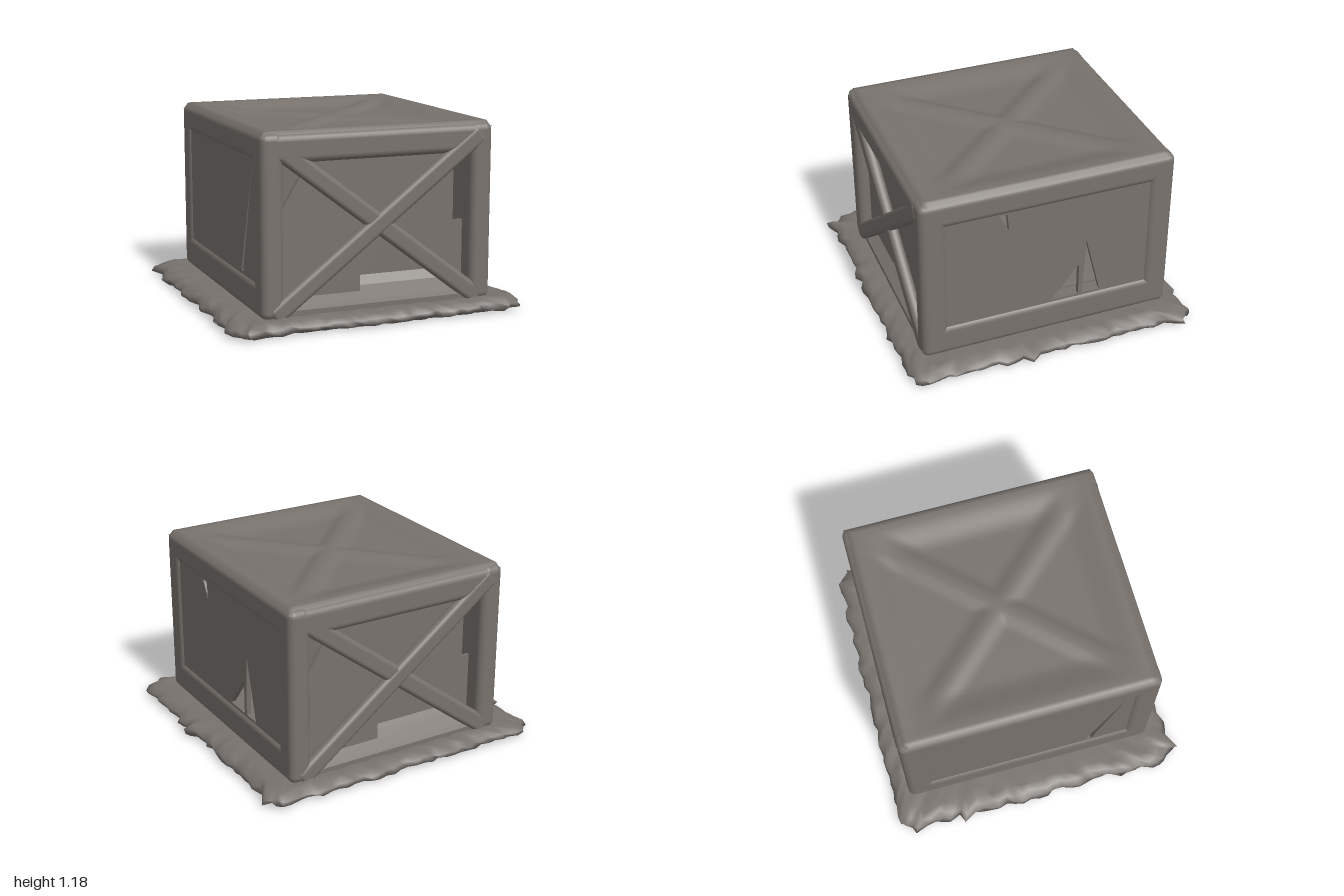
import * as THREE from 'three';
import { RoundedBoxGeometry } from 'three/addons/geometries/RoundedBoxGeometry.js';

// Small seeded random source
function seeded(seed) {
  return () => {
    seed = (seed * 1664525 + 1013904223) % 4294967296;
    return seed / 4294967296;
  };
}

export function createModel() {
  const model = new THREE.Group();
  const stone = new THREE.MeshStandardMaterial({ color: 0x78726d, side: THREE.DoubleSide });
  stone.name = 'warm grey stone';

  const CX = 0.02, HX = 0.75, HZ = 0.82; // centre and half sizes of the crate

  function add(name, geometry, parent = model, x = 0, y = 0, z = 0) {
    const mesh = new THREE.Mesh(geometry, stone);
    mesh.name = name;
    mesh.position.set(x, y, z);
    parent.add(mesh);
    return mesh;
  }
  const beam = (w, h, d, r = 0.045) => new RoundedBoxGeometry(w, h, d, 3, r);

  // Flat plate from outline points, with optional holes
  function plate(points, holes = [], depth = 0.03) {
    const toV = (p) => new THREE.Vector2(p[0], p[1]);
    const shape = new THREE.Shape(points.map(toV));
    for (const h of holes) shape.holes.push(new THREE.Path(h.map(toV)));
    return new THREE.ExtrudeGeometry(shape, { depth, bevelEnabled: false });
  }

  // Ragged ground slab: a closed, rolled profile swept round a rectangle
  function raggedSlab() {
    const rnd = seeded(11), perSide = 34, n = perSide * 4;
    // inset from the edge, height, sideways roughness, vertical roughness
    const profile = [
      [0.3, 0.008, 0, 0], [0.05, 0.008, 0.015, 0.006], [0.008, 0.03, 0.025, 0.015],
      [0.015, 0.055, 0.025, 0.02], [0.05, 0.08, 0.025, 0.02], [0.1, 0.088, 0.02, 0.016],
      [0.16, 0.082, 0.01, 0.01], [0.4, 0.085, 0, 0],
    ];
    const spikes = { 2: 0.05, 48: 0.05, 66: 0.04, 110: 0.03, 133: 0.02 };
    const pos = [], index = [];
    for (let i = 0; i < n; i++) {
      const side = Math.floor(i / perSide), t = ((i % perSide) / perSide) * 2 - 1;
      const [u, v] = [[t, 1], [1, -t], [-t, -1], [-1, t]][side];
      const corner = Math.max(0, Math.abs(t) - 0.93) * 0.5;
      const drift = (rnd() - 0.5) * 0.035 + (spikes[i] || 0);
      for (const [inset, y, rough, lift] of profile) {
        const d = inset + corner - (rnd() - 0.5) * rough - (rough > 0.012 ? drift : 0);
        pos.push(u * (0.95 - d) + 0.005, y + (rnd() - 0.5) * lift, v * (0.945 - d) + 0.01);
      }
    }
    const m = profile.length;
    for (let i = 0; i < n; i++) {
      const a = i * m, b = ((i + 1) % n) * m;
      for (let k = 0; k < m - 1; k++) {
        index.push(a + k, b + k, a + k + 1, b + k, b + k + 1, a + k + 1);
      }
    }
    // Flat middle, top and bottom
    const top = pos.length / 3;
    pos.push(0, 0.085, 0, 0, 0.008, 0);
    for (let i = 0; i < n; i++) {
      const a = i * m, b = ((i + 1) % n) * m;
      index.push(a + m - 1, b + m - 1, top, b, a, top + 1);
    }
    const g = new THREE.BufferGeometry();
    g.setAttribute('position', new THREE.Float32BufferAttribute(pos, 3));
    g.setIndex(index);
    g.computeVertexNormals();
    return g;
  }
  add('raggedGroundSlab', raggedSlab());

  const crate = new THREE.Group();
  crate.name = 'crate';
  crate.position.x = CX;
  model.add(crate);

  // Corner posts, side rails and end rails
  for (const sx of [-1, 1]) {
    for (const sz of [-1, 1]) {
      add('cornerPost', beam(0.14, 1.1, 0.17), crate, sx * (HX - 0.07), 0.62, sz * (HZ - 0.085));
    }
    add('sideTopRail', beam(0.14, 0.175, HZ * 2), crate, sx * (HX - 0.07), 1.09, 0);
    add('sideBottomRail', beam(0.14, 0.21, HZ * 2), crate, sx * (HX - 0.07), 0.175, 0);
  }
  for (const sz of [-1, 1]) {
    add('endTopRail', beam(HX * 2, 0.175, 0.17), crate, 0, 1.085, sz * (HZ - 0.085));
  }

  // Roof: a broad rim dipping to an inset panel with raised diagonals
  function roofGeometry() {
    const w = HX - 0.005, d = HZ - 0.015;
    const g = new THREE.PlaneGeometry(2 * w, 2 * d, 60, 60).rotateX(-Math.PI / 2);
    const p = g.attributes.position;
    for (let i = 0; i < p.count; i++) {
      const x = p.getX(i), z = p.getZ(i);
      const edge = Math.min(w - Math.abs(x), d - Math.abs(z));
      const dip = THREE.MathUtils.smoothstep(edge, 0.06, 0.28);
      const diagonal = Math.abs(Math.abs(x) / w - Math.abs(z) / d);
      const ridge = 1 - THREE.MathUtils.smoothstep(diagonal, 0.03, 0.2);
      const rim = 1 - THREE.MathUtils.smoothstep(edge, 0, 0.025);
      p.setY(i, 1.188 - dip * (0.045 - 0.025 * ridge) - rim * 0.035);
    }
    g.computeVertexNormals();
    return g;
  }
  add('roofTop', roofGeometry(), crate);

  // Side panels with splintered gaps; outline runs along z and y
  const outline = [[-0.69, 0.24], [0.69, 0.24], [0.69, 1.05], [-0.69, 1.05]];
  const leftGaps = [
    [[0.02, 0.285], [0.205, 0.285], [0.205, 0.51]],
    [[0.23, 0.285], [0.35, 0.285], [0.25, 0.68]],
    [[-0.32, 1.0], [-0.27, 1.0], [-0.26, 0.89]],
  ];
  const rightGaps = [[[0.38, 0.29], [0.42, 0.29], [0.61, 0.98]]];
  add('leftPanel', plate(outline, leftGaps), crate, HX - 0.045, 0, 0).rotation.y = Math.PI / 2;
  add('rightPanel', plate(outline, rightGaps), crate, -HX + 0.045, 0, 0).rotation.y = -Math.PI / 2;

  // Braced ends, the same at front and back
  function bracedEnd(name) {
    const end = new THREE.Group();
    end.name = name;
    // Broken panel set just behind the braces
    add('brokenPanel', plate([
      [-0.63, 0.18], [-0.1, 0.18], [-0.1, 0.28], [0.52, 0.28],
      [0.52, 1.03], [-0.46, 1.03], [-0.47, 0.93], [-0.63, 0.66],
    ]), end, 0, 0, HZ - 0.11);
    // Boards behind the gaps
    add('leaningBoard', new THREE.BoxGeometry(0.2, 0.45, 0.02), end, -0.55, 0.8, HZ - 0.18)
      .rotation.y = 0.5;
    add('looseBoard', new THREE.BoxGeometry(0.12, 0.36, 0.02), end, 0.56, 0.38, HZ - 0.14);
    // Sill sloping back from a low front edge
    const sill = plate([[0, 0.08], [0.1, 0.08], [0.1, 0.115], [0.07, 0.135], [-0.02, 0.2], [-0.1, 0.31], [-0.1, 0.08]], [], 1.36);
    add('sill', sill, end, 0.68, 0, HZ - 0.12).rotation.y = -Math.PI / 2;
    // Crossed braces reaching into the corners
    const dx = 1.36, dy = 1.04;
    for (const s of [-1, 1]) {
      add('brace', beam(Math.hypot(dx, dy), 0.115, 0.07, 0.03), end, 0, 0.6, HZ - 0.03 - (s > 0 ? 0 : 0.006))
        .rotation.z = s * Math.atan2(dy, dx);
    }
    crate.add(end);
    return end;
  }
  bracedEnd('frontEnd');
  bracedEnd('backEnd').rotation.y = Math.PI;

  return model;
}
